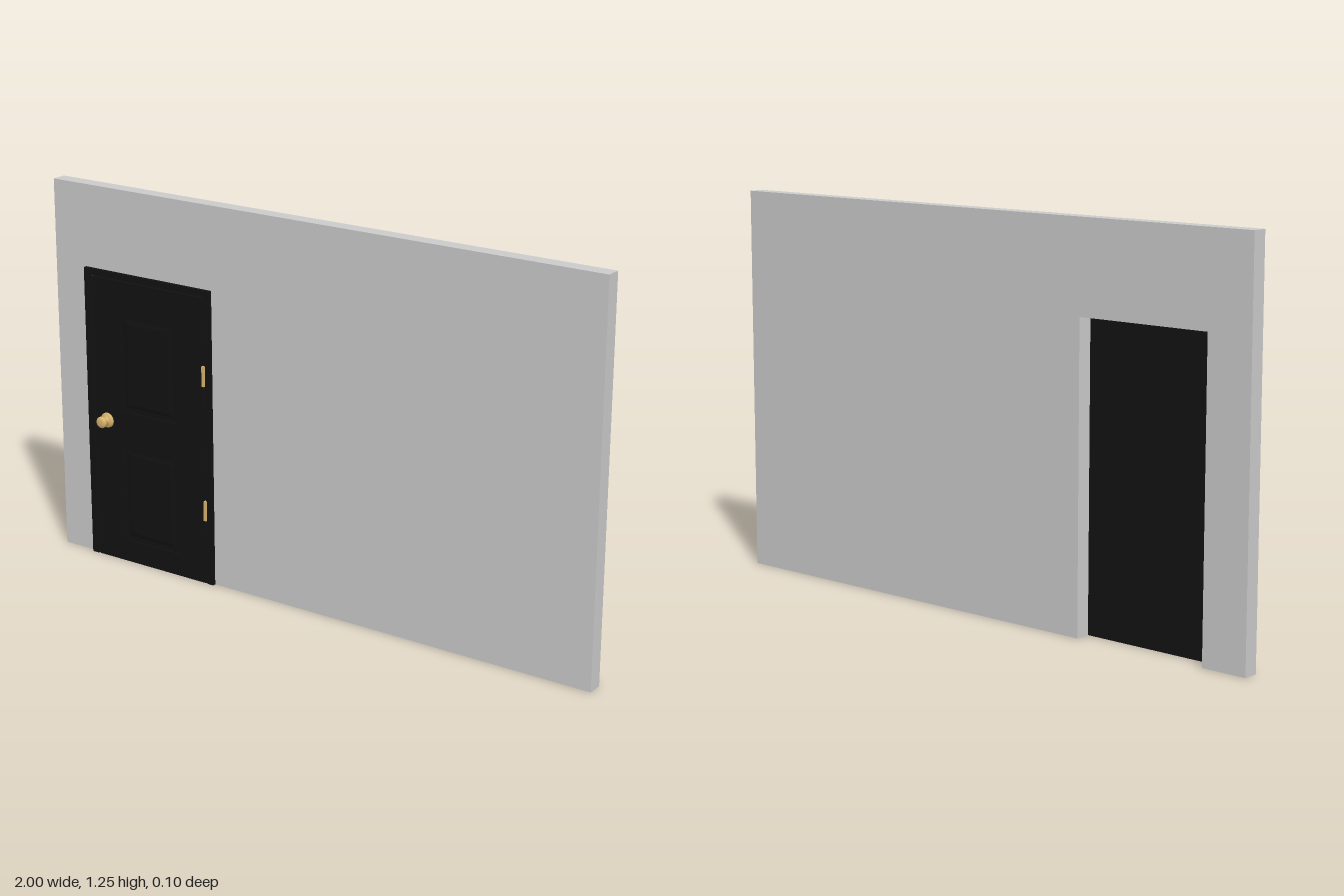
import * as THREE from 'three';

const paint = (color) => new THREE.MeshStandardMaterial({ color });

// Traces a rectangle on a Shape or Path
function rect(path, x0, y0, x1, y1) {
  path.moveTo(x0, y0);
  path.lineTo(x1, y0);
  path.lineTo(x1, y1);
  path.lineTo(x0, y1);
  path.closePath();
  return path;
}

// Rectangle standing on the floor with a doorway cut up from its bottom edge
function archShape(x0, x1, top, inX0, inX1, inTop) {
  return new THREE.Shape([
    [x0, 0], [inX0, 0], [inX0, inTop], [inX1, inTop],
    [inX1, 0], [x1, 0], [x1, top], [x0, top],
  ].map(([x, y]) => new THREE.Vector2(x, y)));
}

const slab = (shape, depth) => new THREE.ExtrudeGeometry(shape, { depth, bevelEnabled: false });

export function createModel() {
  const model = new THREE.Group();
  model.name = 'wallWithDoor';
  const grey = paint(0xcccccc), black = paint(0x121212), brass = paint(0xd9b56c);

  function add(parent, name, geometry, material, x = 0, y = 0, z = 0) {
    const mesh = new THREE.Mesh(geometry, material);
    mesh.name = name;
    mesh.position.set(x, y, z);
    parent.add(mesh);
    return mesh;
  }

  // Wall with doorway, and the trim around it
  add(model, 'wall', slab(archShape(-1, 1, 1.25, -0.85, -0.393, 0.96), 0.05), grey, 0, 0, -0.05);
  add(model, 'doorFrame', slab(archShape(-0.875, -0.37, 0.98, -0.85, -0.393, 0.959), 0.012), black);

  // Door leaf: stiles and rails over a thin back, with two raised panels
  const door = new THREE.Group();
  door.name = 'door';
  model.add(door);
  const [left, right, top] = [-0.845, -0.398, 0.955];
  const leaf = rect(new THREE.Shape(), left, 0, right, top);
  const panels = [[0.075, 0.4], [0.52, 0.845]];
  for (const [y0, y1] of panels) leaf.holes.push(rect(new THREE.Path(), -0.733, y0, -0.51, y1));
  add(door, 'stilesAndRails', slab(leaf, 0.01), black);
  add(door, 'doorBack', slab(rect(new THREE.Shape(), -0.74, 0.06, -0.5, 0.86), 0.005), black, 0, 0, 0.0005);
  for (const [y0, y1] of panels) {
    const field = rect(new THREE.Shape(), -0.705, y0 + 0.028, -0.538, y1 - 0.028);
    const raised = new THREE.ExtrudeGeometry(field, {
      depth: 0.001, bevelThickness: 0.003, bevelSize: 0.012, bevelSegments: 1,
    });
    add(door, 'raisedPanel', raised, black, 0, 0, 0.005);
  }

  // Hinges
  for (const y of [0.252, 0.702]) {
    add(model, 'hinge', new THREE.BoxGeometry(0.009, 0.066, 0.01), brass, -0.394, y, 0.014);
  }

  // Knob: rosette, neck and rounded grip turned as one profile
  const profile = [
    [0, 0], [0.025, 0], [0.025, 0.006], [0.021, 0.011], [0.01, 0.012], [0.009, 0.022],
    [0.015, 0.024], [0.019, 0.029], [0.019, 0.035], [0.016, 0.039], [0.009, 0.041], [0, 0.041],
  ].map(([r, h]) => new THREE.Vector2(r, h));
  const knob = add(model, 'doorKnob', new THREE.LatheGeometry(profile, 32), brass, -0.795, 0.478, 0.009);
  knob.rotation.x = Math.PI / 2;

  return model;
}
